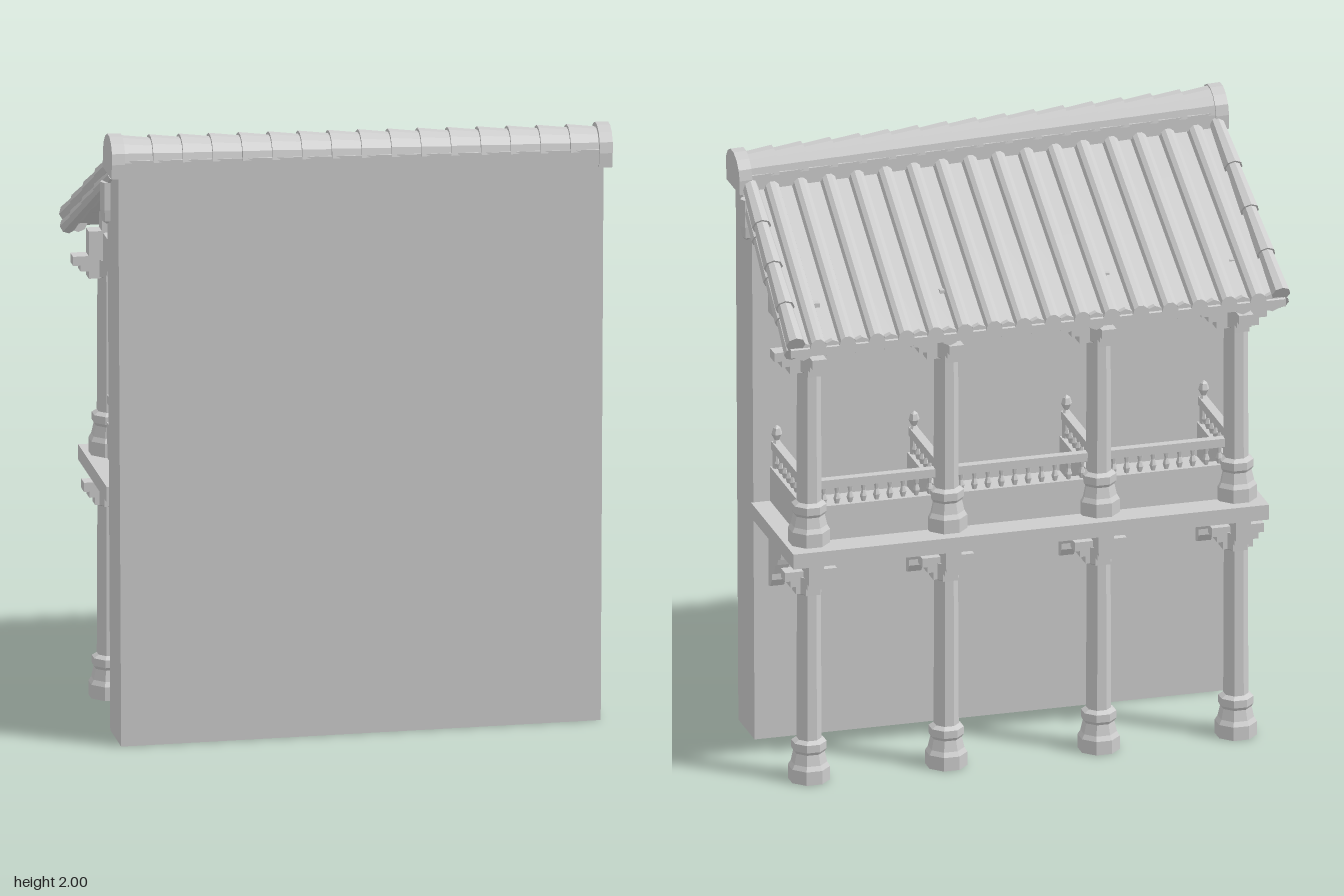
import * as THREE from 'three';

const stone = new THREE.MeshStandardMaterial({ color: 0xcccccc, flatShading: true, side: THREE.DoubleSide });
stone.name = 'plain grey';

const COLS = [-0.7, -0.25, 0.25, 0.7]; // column positions along the facade
const COL_Z = -0.2, WALL_IN = 0.175, WALL_OUT = 0.357;

function add(parent, name, geo, x = 0, y = 0, z = 0) {
  const m = new THREE.Mesh(geo, stone);
  m.name = name;
  m.position.set(x, y, z);
  parent.add(m);
  return m;
}

// box given by its min and max corners
function block(parent, name, x0, x1, y0, y1, z0, z1) {
  return add(parent, name, new THREE.BoxGeometry(x1 - x0, y1 - y0, z1 - z0), (x0 + x1) / 2, (y0 + y1) / 2, (z0 + z1) / 2);
}

function lathe(points, sides) {
  const g = new THREE.LatheGeometry(points.map(([r, y]) => new THREE.Vector2(r, y)), sides);
  return g.rotateY(Math.PI / sides);
}

// tapered rod from a to b
function rod(parent, name, a, b, r0, r1, sides) {
  const d = b.clone().sub(a);
  const m = add(parent, name, new THREE.CylinderGeometry(r1, r0, d.length(), sides));
  m.position.copy(a).add(b).multiplyScalar(0.5);
  m.quaternion.setFromUnitVectors(new THREE.Vector3(0, 1, 0), d.normalize());
}

// point on the sloping roof: s = 0 at the ridge, 1 at the eave, h above the surface
const roofPoint = (x, s, h) => new THREE.Vector3(
  x * (1 + 0.04 * s), THREE.MathUtils.lerp(1.855 - 0.03 * x, 1.52, s) + h, 0.25 - 0.63 * s);

// wall, open underneath, with its top following the roof
function wall(parent) {
  const g = new THREE.BoxGeometry(1.537, 1, WALL_OUT - WALL_IN);
  g.translate(0, 0.5, (WALL_IN + WALL_OUT) / 2);
  const p = g.attributes.position;
  for (let i = 0; i < p.count; i++) {
    if (p.getY(i) < 0.5) continue;
    const x = p.getX(i);
    p.setXYZ(i, x * 1.012, (p.getZ(i) > 0.3 ? 1.865 : 1.81) - 0.02 * x, p.getZ(i));
  }
  const idx = Array.from(g.index.array);
  idx.splice(18, 6); // drop the bottom face
  g.setIndex(idx);
  g.computeVertexNormals();
  add(parent, 'wall', g);
}

// octagonal column with moulded base and collar, open underneath
function column(parent, name, x, y0, y1) {
  add(parent, name, lathe([
    [0.067, 0], [0.067, 0.045], [0.058, 0.06], [0.05, 0.095], [0.056, 0.105], [0.056, 0.13],
    [0.04, 0.14], [0.038, y1 - y0 - 0.06], [0.045, y1 - y0 - 0.055], [0.045, y1 - y0], [0, y1 - y0],
  ], 8), x, y0, COL_Z);
}

// stepped bracket arms on four sides of a column head, topped at height y
function capital(parent, x, y, reach) {
  const g = new THREE.Group();
  g.name = 'capital';
  g.position.set(x, y, COL_Z);
  [[1, -0.03, 0], [0.8, -0.05, -0.03], [0.58, -0.075, -0.05]].forEach(([k, lo, hi]) => {
    block(g, 'crossArm', -reach * k, reach * k, lo, hi, -0.024, 0.024);
    block(g, 'outwardArm', -0.024, 0.024, lo, hi, -reach * k, reach * k);
  });
  parent.add(g);
}

// stepped corbel on the wall below the balcony
function corbel(parent, x) {
  const s = new THREE.Shape([
    [0, 0.69], [0, 0.515], [0.02, 0.52], [0.035, 0.545], [0.035, 0.565], [0.06, 0.575], [0.075, 0.61],
    [0.1, 0.62], [0.105, 0.64], [0.135, 0.65], [0.14, 0.69],
  ].map(([d, y]) => new THREE.Vector2(d, y)));
  const g = new THREE.ExtrudeGeometry(s, { depth: 0.045, bevelEnabled: false });
  g.translate(0, 0, -0.0225).rotateY(Math.PI / 2); // profile now runs away from the wall
  add(parent, 'corbel', g, x, 0, WALL_IN);
}

// solid parapet with balusters and a handrail, lying along x
function railing(parent, length, x, z, turn) {
  const g = new THREE.Group();
  g.name = 'railing';
  g.position.set(x, 0.8, z);
  g.rotation.y = turn;
  const h = length / 2;
  block(g, 'parapet', -h, h, 0, 0.115, -0.018, 0.018);
  block(g, 'handrail', -h, h, 0.172, 0.2, -0.014, 0.014);
  const n = Math.round(length / 0.045);
  const geo = lathe([[0.007, 0], [0.012, 0.018], [0.006, 0.036], [0.01, 0.058]], 6);
  for (let i = 0; i < n; i++) add(g, 'baluster', geo, -h + (i + 0.5) * length / n, 0.115, 0);
  parent.add(g);
}

// roof sheet with raised tile rolls, bent onto the slope
function roof(parent) {
  const N = 16, pitch = 0.0925, first = -0.694;
  const s = new THREE.Shape();
  s.moveTo(-0.78, -0.025);
  s.lineTo(0.78, -0.025);
  s.lineTo(0.78, 0);
  for (let i = N - 1; i >= 0; i--) {
    const c = first + i * pitch;
    [[0.026, 0], [0.021, 0.018], [0.008, 0.028], [-0.008, 0.028], [-0.021, 0.018], [-0.026, 0]]
      .forEach(([dx, h]) => s.lineTo(c + dx, h));
  }
  s.lineTo(-0.78, 0);
  const g = new THREE.ExtrudeGeometry(s, { depth: 1, steps: 4, bevelEnabled: false });
  const p = g.attributes.position;
  for (let i = 0; i < p.count; i++) {
    const q = roofPoint(p.getX(i), 1 - p.getZ(i), p.getY(i));
    p.setXYZ(i, q.x, q.y, q.z);
  }
  g.computeVertexNormals();
  add(parent, 'tiledRoof', g);

  // hanging tile ends between the rolls
  const drip = new THREE.CylinderGeometry(0.03, 0.03, 0.02, 8).rotateX(Math.PI / 2);
  for (let i = 0; i <= N; i++) {
    const q = roofPoint(first + (i - 0.5) * pitch, 0.975, -0.018);
    add(parent, 'dripTile', drip, q.x, q.y, q.z);
  }

  // gable edges: overlapping roll tiles, a lower course and a purlin end
  for (const side of [-1, 1]) {
    for (let k = 0; k < 4; k++) {
      const a = k / 4, b = (k + 1) / 4 + (k < 3 ? 0.02 : 0);
      rod(parent, 'gableRoll', roofPoint(side * 0.765, a, 0.018), roofPoint(side * 0.765, b, 0.018), 0.024, 0.031, 8);
      rod(parent, 'gableUnderRoll', roofPoint(side * 0.772, a, -0.028), roofPoint(side * 0.772, Math.min(b, 0.97), -0.028), 0.019, 0.026, 8);
    }
    add(parent, 'purlinEnd', lathe([[0, 0], [0.016, 0.012], [0.022, 0.05], [0.022, 0.14], [0, 0.14]], 6), side * 0.785, 1.675, 0.205);
  }
}

// ridge: base course with overlapping half-round tiles and end caps, gently sloping
function ridge(parent) {
  const g = new THREE.Group();
  g.name = 'ridge';
  g.position.set(0, 1.858, 0.3);
  g.rotation.z = -0.032;
  block(g, 'ridgeCourse', -0.785, 0.785, -0.005, 0.045, -0.068, 0.068);
  const N = 16, w = 1.53 / N;
  const half = (r0, r1, len) => new THREE.CylinderGeometry(r0, r1, len, 7, 1, false, 0, Math.PI).rotateZ(Math.PI / 2);
  const tile = half(0.071, 0.061, w);
  for (let i = 0; i < N; i++) add(g, 'ridgeTile', tile, -0.765 + (i + 0.5) * w, 0.038, 0);
  const cap = half(0.078, 0.078, 0.042);
  for (const side of [-1, 1]) {
    add(g, 'ridgeCap', cap, side * 0.782, 0.036, 0);
    block(g, 'ridgeCapBase', side * 0.782 - 0.021, side * 0.782 + 0.021, -0.012, 0.036, -0.074, 0.074);
  }
  parent.add(g);
}

export function createModel() {
  const model = new THREE.Group();
  model.name = 'balconyHouseFront';
  const body = new THREE.Group();
  body.name = 'building';
  body.rotation.y = 0.108; // the building stands slightly turned
  model.add(body);

  wall(body);
  block(body, 'balconyFloor', -0.78, 0.78, 0.75, 0.8, -0.3, WALL_IN);

  COLS.forEach((x, i) => {
    column(body, 'lowerColumn', x, 0, 0.69);
    capital(body, x, 0.71, 0.085);
    block(body, 'floorBeam', x - 0.025, x + 0.025, 0.69, 0.75, -0.285, WALL_IN);
    corbel(body, x);
    column(body, 'upperColumn', x, 0.8, 1.44);
    capital(body, x, 1.455, 0.12);
    block(body, 'crossBeam', x - 0.025, x + 0.025, 1.44, 1.53, -0.225, WALL_IN);
    block(body, 'roofPost', x - 0.028, x + 0.028, 1.53, 1.61, -0.228, -0.172);
    railing(body, 0.345, x, 0.0025, Math.PI / 2);
    // finial post against the wall
    add(body, 'finial', lathe([[0.014, 0], [0.014, 0.2], [0.008, 0.21], [0.018, 0.23], [0.012, 0.25], [0, 0.26]], 6), x, 0.8, WALL_IN - 0.015);
    if (i < 3) {
      const span = COLS[i + 1] - x;
      railing(body, span - 0.06, x + span / 2, COL_Z + 0.01, 0);
    }
  });
  block(body, 'eaveBeam', -0.77, 0.77, 1.45, 1.535, -0.224, -0.176);

  roof(body);
  ridge(body);
  return model;
}
